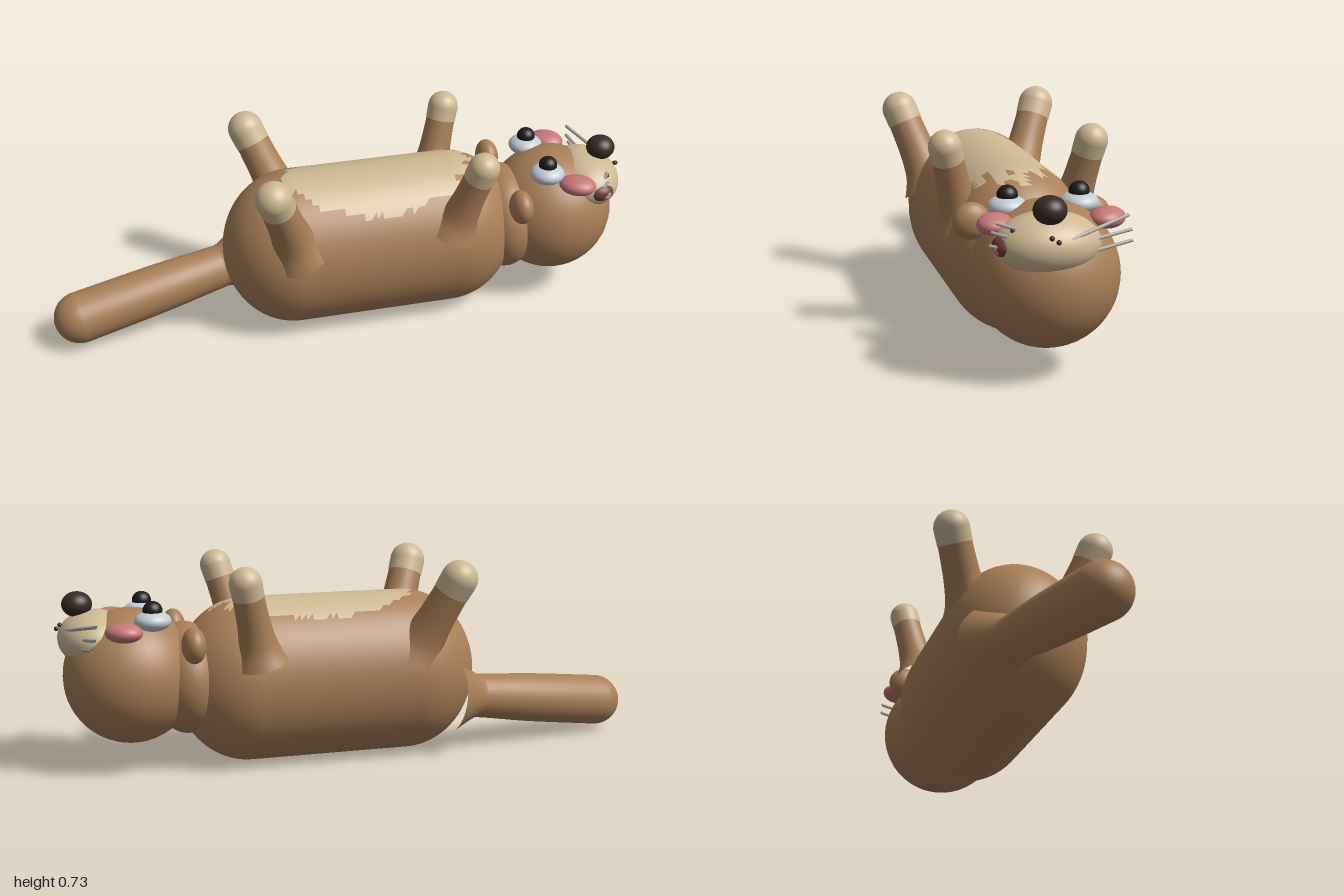
import * as THREE from 'three';

const mat = (color) => new THREE.MeshStandardMaterial({ color, roughness: 0.8 });
const FUR = mat(0xa97f58), CREAM = mat(0xcdb994), DARK = mat(0x3a2924), BLACK = mat(0x1c1a1a);
const EYE = mat(0xc3ccd6), PINK = mat(0xc87878), MOUTH = mat(0x6e3a38), WHISKER = mat(0xaaa6a0);
const V = (x, y, z) => new THREE.Vector3(x, y, z);

// The spine runs along a line turned about the vertical axis
const YAW = -0.445;

function add(parent, name, geometry, material) {
  const mesh = new THREE.Mesh(geometry, material);
  mesh.name = name;
  parent.add(mesh);
  return mesh;
}

function ellipsoid(parent, name, pos, radii, material, yaw = YAW) {
  const mesh = add(parent, name, new THREE.SphereGeometry(1, 40, 28), material);
  mesh.position.set(...pos);
  mesh.scale.set(...radii);
  mesh.rotation.y = yaw;
  return mesh;
}

// Divide a geometry by face into the faces that pass a test and the rest
function splitFaces(geometry, test) {
  const g = geometry.toNonIndexed(), p = g.attributes.position, n = g.attributes.normal;
  const sets = [{ p: [], n: [] }, { p: [], n: [] }], c = V(0, 0, 0), t = V(0, 0, 0);
  for (let i = 0; i < p.count; i += 3) {
    c.set(0, 0, 0);
    for (let k = 0; k < 3; k++) c.add(t.fromBufferAttribute(p, i + k));
    const set = sets[test(c.divideScalar(3)) ? 0 : 1];
    for (let k = i; k < i + 3; k++) {
      set.p.push(p.getX(k), p.getY(k), p.getZ(k));
      set.n.push(n.getX(k), n.getY(k), n.getZ(k));
    }
  }
  return sets.map((s) => {
    const out = new THREE.BufferGeometry();
    out.setAttribute('position', new THREE.Float32BufferAttribute(s.p, 3));
    out.setAttribute('normal', new THREE.Float32BufferAttribute(s.n, 3));
    return out;
  });
}

// Lathe whose profile [radius, distance] runs from one point towards another
function limb(parent, name, from, to, profile, material) {
  const dir = to.clone().sub(from);
  const curve = new THREE.SplineCurve(profile.map(([r, h]) => new THREE.Vector2(r, h * dir.length())));
  const mesh = add(parent, name, new THREE.LatheGeometry(curve.getPoints(24), 32), material);
  mesh.position.copy(from);
  mesh.quaternion.setFromUnitVectors(V(0, 1, 0), dir.normalize());
  return mesh;
}

export function createModel() {
  const root = new THREE.Group();
  root.name = 'otterOnItsBack';

  // Trunk with a ragged cream belly patch
  const trunk = new THREE.Group();
  trunk.name = 'trunk';
  trunk.rotation.y = YAW;
  root.add(trunk);
  const capsule = new THREE.CapsuleGeometry(0.265, 0.59, 20, 64, 26);
  capsule.rotateZ(Math.PI / 2);
  capsule.scale(1, 1.12, 0.98);
  capsule.translate(0.085, 0.302, -0.058);
  const [belly, coat] = splitFaces(capsule, (c) => {
    const a = (c.x - 0.12) / 0.37, b = (c.z + 0.04) / 0.18;
    const rag = 0.08 * Math.sin(c.z * 90) + 0.06 * Math.sin(c.x * 70 + c.z * 40);
    return c.y > 0.4 && a * a + b * b < 1 + rag * (a > 0.3 ? 2 : 0.7);
  });
  add(trunk, 'belly', belly, CREAM);
  add(trunk, 'body', coat, FUR);

  // Legs flare into the trunk and end in round cream paws
  const legs = [
    ['hindLegLeft', V(-0.25, 0.38, 0.0), V(-0.39, 0.67, 0.052), 0.066],
    ['hindLegRight', V(-0.09, 0.38, -0.28), V(-0.155, 0.67, -0.438), 0.066],
    ['frontLegLeft', V(0.265, 0.4, 0.27), V(0.305, 0.683, 0.37), 0.057],
    ['frontLegRight', V(0.445, 0.4, -0.065), V(0.53, 0.683, -0.088), 0.057],
  ];
  for (const [name, hip, paw, r] of legs) {
    limb(root, name, hip, paw,
      [[r * 1.75, 0], [r * 1.25, 0.2], [r * 1.04, 0.45], [r * 0.96, 0.75], [r * 0.95, 0.93]], FUR);
    ellipsoid(root, name + 'Paw', paw.toArray(), [r, r, r], CREAM);
    limb(root, name + 'Cuff', paw.clone().lerp(hip, 0.17), paw, [[r * 0.98, 0], [r, 1]], CREAM);
  }

  // Tail, narrowest just behind the trunk, with a round tip
  const tip = V(-0.905, 0.12, -0.478);
  limb(root, 'tail', V(-0.24, 0.215, -0.3), tip,
    [[0.15, 0], [0.088, 0.16], [0.083, 0.25], [0.092, 0.55], [0.096, 1]], FUR);
  ellipsoid(root, 'tailTip', tip.toArray(), [0.096, 0.096, 0.096], FUR);

  // Head and neck
  ellipsoid(root, 'head', [0.74, 0.338, 0.302], [0.236, 0.24, 0.238], FUR);
  ellipsoid(root, 'neck', [0.57, 0.32, 0.21], [0.13, 0.2, 0.205], FUR);
  ellipsoid(root, 'muzzle', [0.832, 0.472, 0.38], [0.13, 0.1, 0.17], CREAM);
  ellipsoid(root, 'nose', [0.88, 0.592, 0.415], [0.053, 0.045, 0.053], DARK);
  ellipsoid(root, 'mouth', [0.785, 0.475, 0.513], [0.05, 0.035, 0.04], MOUTH);
  ellipsoid(root, 'tongue', [0.79, 0.468, 0.53], [0.025, 0.018, 0.028], PINK);

  // Paired features: ears, eyes and cheeks
  const pairs = [
    ['Left', [0.482, 0.47, 0.4], [0.635, 0.548, 0.377], [0.695, 0.52, 0.478]],
    ['Right', [0.662, 0.47, 0.032], [0.738, 0.548, 0.162], [0.862, 0.522, 0.155]],
  ];
  for (const [side, ear, eye, cheek] of pairs) {
    ellipsoid(root, 'ear' + side, ear, [0.042, 0.063, 0.064], FUR);
    ellipsoid(root, 'eye' + side, eye, [0.064, 0.036, 0.064], EYE);
    ellipsoid(root, 'pupil' + side, [eye[0], 0.585, eye[2]], [0.034, 0.032, 0.034], BLACK);
    ellipsoid(root, 'cheek' + side, cheek, [0.056, 0.034, 0.068], PINK, side === 'Left' ? 0.55 : 0.35);
  }

  // Whiskers, three on each side
  const whiskers = [
    [V(0.95, 0.51, 0.39), V(0.965, 0.553, 0.165)],
    [V(0.93, 0.485, 0.32), V(0.975, 0.508, 0.16)],
    [V(0.94, 0.452, 0.31), V(0.985, 0.476, 0.165)],
    [V(0.84, 0.53, 0.49), V(0.775, 0.55, 0.54)],
    [V(0.84, 0.505, 0.51), V(0.765, 0.52, 0.55)],
    [V(0.84, 0.475, 0.52), V(0.775, 0.482, 0.565)],
  ];
  for (const [a, b] of whiskers)
    add(root, 'whisker', new THREE.TubeGeometry(new THREE.LineCurve3(a, b), 1, 0.006, 8), WHISKER)
      .material.side = THREE.DoubleSide;

  // Small dots on the muzzle
  for (const p of [[0.95, 0.51, 0.44], [0.93, 0.52, 0.45], [0.82, 0.53, 0.51]])
    ellipsoid(root, 'whiskerDot', p, [0.008, 0.008, 0.008], DARK);
  return root;
}
